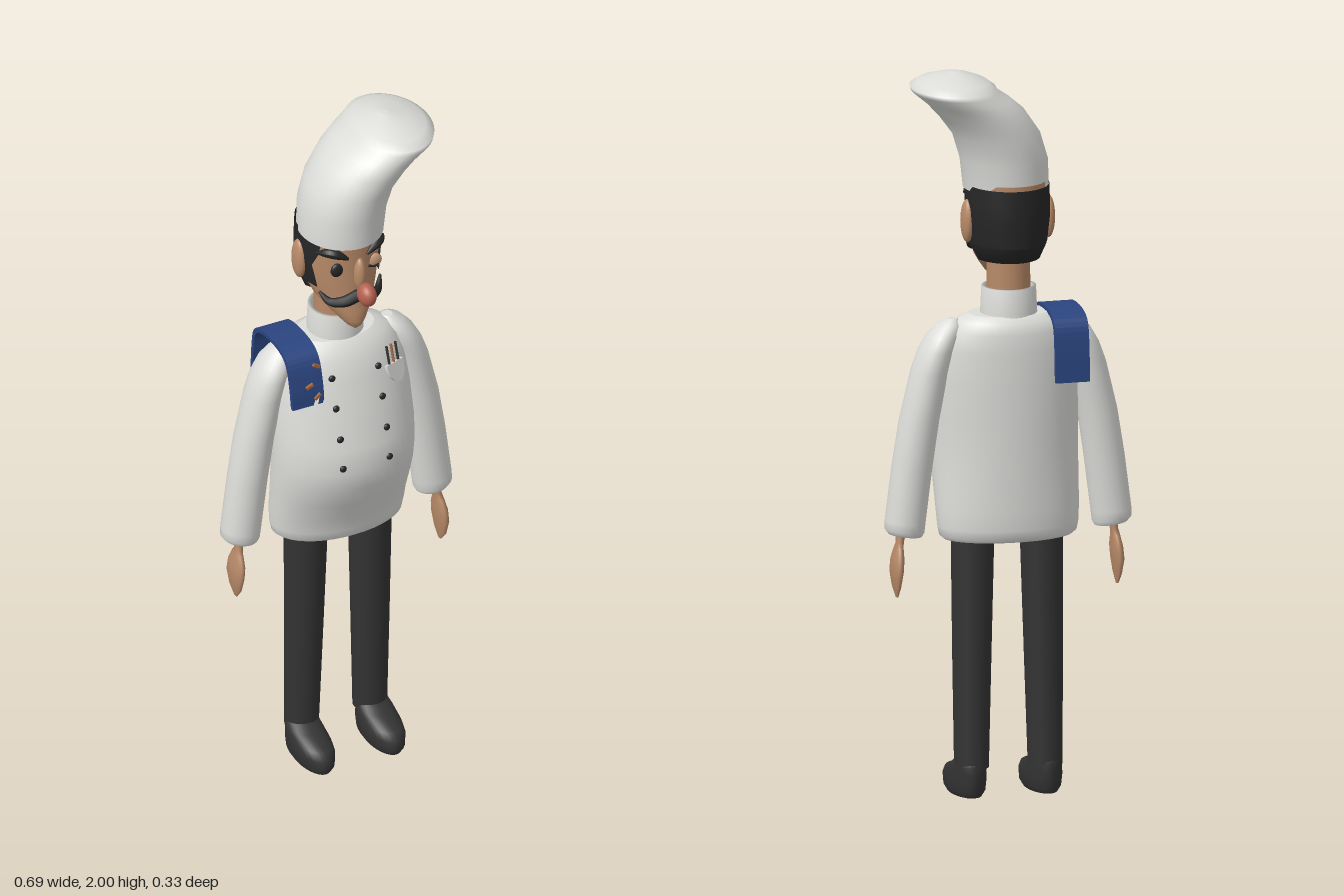
import * as THREE from 'three';

const mat = (name, color) => {
  const m = new THREE.MeshStandardMaterial({ color, side: THREE.DoubleSide });
  m.name = name;
  return m;
};

// Ring: [y, half width, front z, back z, centre x, tilt, start angle]; rings run bottom to top
function loft(rings, seg = 32, side = 1) {
  const pos = [], idx = [], n = seg + 1;
  const point = (r, j) => {
    const [y, rx, f, b, cx = 0, tilt = 0, a0 = 0] = r;
    const a = a0 + (2 * Math.PI - 2 * a0) * j / seg, s = Math.sin(a) * rx;
    return [cx * side + s, y + tilt * side * s, (f + b) / 2 + Math.cos(a) * (f - b) / 2];
  };
  const closed = !rings.some(r => r[6]);
  rings.forEach(r => { for (let j = 0; j < n; j++) pos.push(...point(r, j)); });
  for (let i = 0; i < rings.length - 1; i++)
    for (let j = 0; j < seg; j++) {
      const k = closed ? (j + 1) % seg : j + 1;
      const a = i * n + j, b = i * n + k, c = b + n, d = a + n;
      idx.push(a, b, d, b, c, d);
    }
  // flat end caps on closed lofts
  if (closed) [rings[0], rings[rings.length - 1]].forEach((r, top) => {
    const start = pos.length / 3;
    pos.push((r[4] || 0) * side, r[0], (r[2] + r[3]) / 2);
    for (let j = 0; j < n; j++) pos.push(...point(r, j));
    for (let j = 1; j <= seg; j++) idx.push(start, start + (top ? j : j + 1), start + (top ? j + 1 : j));
  });
  const g = new THREE.BufferGeometry();
  g.setAttribute('position', new THREE.Float32BufferAttribute(pos, 3));
  g.setIndex(idx);
  g.computeVertexNormals();
  return g;
}

// Tube along points whose thickness follows width(t)
function taperTube(points, radius, width) {
  const curve = new THREE.CatmullRomCurve3(points.map(p => new THREE.Vector3(...p)));
  const n = 16, m = 10, g = new THREE.TubeGeometry(curve, n, radius, m);
  const p = g.attributes.position, v = new THREE.Vector3();
  for (let i = 0; i < p.count; i++) {
    const t = Math.floor(i / (m + 1)) / n, c = curve.getPointAt(t);
    v.fromBufferAttribute(p, i).sub(c).multiplyScalar(width(t)).add(c);
    p.setXYZ(i, v.x, v.y, v.z);
  }
  g.computeVertexNormals();
  return g;
}

const TORSO = [
  [0.715, 0.178, 0.07, -0.13], [0.725, 0.19, 0.083, -0.142], [0.75, 0.195, 0.088, -0.146],
  [0.8, 0.198, 0.102, -0.147], [0.86, 0.2, 0.13, -0.147], [0.92, 0.202, 0.154, -0.147],
  [0.98, 0.203, 0.165, -0.147], [1.05, 0.203, 0.156, -0.147], [1.15, 0.2, 0.125, -0.147],
  [1.24, 0.19, 0.1, -0.146], [1.29, 0.175, 0.078, -0.142], [1.32, 0.15, 0.058, -0.132],
  [1.335, 0.11, 0.04, -0.11]];

// Front surface of the jacket at x, y
function jacketZ(x, y) {
  const i = TORSO.findIndex(r => r[0] > y), a = TORSO[i - 1], b = TORSO[i];
  const t = (y - a[0]) / (b[0] - a[0]);
  const [, rx, f, k] = a.map((v, q) => v + (b[q] - v) * t);
  return (f + k) / 2 + (f - k) / 2 * Math.sqrt(1 - (x / rx) ** 2);
}

export function createModel() {
  const model = new THREE.Group();
  model.name = 'chef';
  const white = mat('jacket white', 0xdcdcd9), skin = mat('skin', 0xb88a68),
    lid = mat('eyelid skin', 0xc49a78), red = mat('nose red', 0xb5614f),
    black = mat('hair black', 0x262626), dark = mat('trouser black', 0x333333),
    blue = mat('towel blue', 0x2b4580), wood = mat('wood', 0xa5683c);

  const add = (name, geo, m, parent = model) => {
    const mesh = new THREE.Mesh(geo, m);
    mesh.name = name;
    parent.add(mesh);
    return mesh;
  };
  const ball = (name, m, p, s) => {
    const mesh = add(name, new THREE.SphereGeometry(1, 24, 16), m);
    mesh.position.set(...p);
    mesh.scale.set(...s);
    return mesh;
  };

  // Jacket, collar, neck
  add('jacket', loft(TORSO, 40), white);
  const collar = [[0.08, 1.31], [0.077, 1.34], [0.074, 1.408], [0.064, 1.408], [0.064, 1.33]];
  add('collar', new THREE.LatheGeometry(collar.map(p => new THREE.Vector2(...p)), 32), white)
    .position.z = -0.037;
  const neck = add('neck', new THREE.CylinderGeometry(0.058, 0.06, 0.2, 24), skin);
  neck.position.set(0, 1.42, -0.035);

  // Limbs
  for (const s of [1, -1]) {
    const side = s > 0 ? 'left' : 'right';
    add(side + 'Leg', loft([
      [0.08, 0.047, 0.013, -0.08, 0.103], [0.4, 0.053, 0.028, -0.081, 0.1],
      [0.76, 0.059, 0.045, -0.085, 0.096]], 24, s), dark);
    add(side + 'Shoe', loft([
      [0, 0.042, 0.12, -0.07, 0.106], [0.015, 0.051, 0.13, -0.08, 0.106],
      [0.045, 0.054, 0.13, -0.083, 0.106], [0.065, 0.051, 0.112, -0.083, 0.106],
      [0.085, 0.048, 0.05, -0.082, 0.106], [0.1, 0.043, 0.02, -0.077, 0.105],
      [0.108, 0.03, 0.0, -0.06, 0.104]], 28, s), dark);
    add(side + 'Sleeve', loft([
      [0.733, 0.046, 0.014, -0.075, 0.288, 0.12], [0.745, 0.054, 0.021, -0.083, 0.29, 0.12],
      [0.77, 0.055, 0.023, -0.085, 0.288, 0.1], [0.92, 0.055, 0.025, -0.086, 0.269, 0.08],
      [1.05, 0.054, 0.028, -0.09, 0.249, 0.05], [1.185, 0.051, 0.03, -0.094, 0.22],
      [1.24, 0.049, 0.029, -0.094, 0.202], [1.28, 0.045, 0.023, -0.09, 0.183],
      [1.31, 0.034, 0.006, -0.075, 0.166], [1.325, 0.014, -0.02, -0.05, 0.157]], 24, s), white);
    add(side + 'Hand', loft([
      [0.56, 0.003, -0.012, -0.03, 0.308], [0.59, 0.01, 0.012, -0.052, 0.309],
      [0.63, 0.016, 0.024, -0.064, 0.309], [0.665, 0.016, 0.022, -0.06, 0.306],
      [0.695, 0.012, 0.006, -0.046, 0.303], [0.71, 0.011, -0.006, -0.034, 0.3],
      [0.745, 0.014, -0.004, -0.038, 0.296]], 20, s), skin);
  }

  // Head and hair
  add('head', loft([
    [1.4, 0.008, 0.09, 0.06], [1.412, 0.022, 0.102, 0.045], [1.43, 0.038, 0.107, 0.015],
    [1.46, 0.062, 0.106, -0.04], [1.49, 0.083, 0.1, -0.09], [1.53, 0.098, 0.098, -0.13],
    [1.6, 0.107, 0.1, -0.142], [1.7, 0.108, 0.1, -0.142]], 36), skin);
  add('hair', loft([
    [1.475, 0.06, 0.06, -0.06, 0, 0, 1.9], [1.485, 0.09, 0.1, -0.125, 0, 0, 1.85],
    [1.525, 0.105, 0.105, -0.146, 0, 0, 1.6], [1.532, 0.107, 0.106, -0.148, 0, 0, 1.05],
    [1.6, 0.114, 0.108, -0.154, 0, 0, 1.15], [1.64, 0.114, 0.108, -0.155, 0, 0, 0.98],
    [1.69, 0.112, 0.108, -0.153, 0, 0, 0.9]], 36), black);

  // Face
  ball('nose', red, [0.01, 1.53, 0.133], [0.025, 0.033, 0.034]);
  ball('noseBridge', skin, [0.005, 1.58, 0.1], [0.017, 0.05, 0.022]);
  ball('openEye', black, [-0.055, 1.6, 0.084], [0.019, 0.021, 0.01]);
  ball('closedEye', lid, [0.056, 1.598, 0.083], [0.024, 0.021, 0.011]);
  add('closedEyeLine', taperTube([[0.034, 1.594, 0.095], [0.056, 1.588, 0.095], [0.08, 1.596, 0.078]],
    0.003, () => 1), black);
  for (const s of [1, -1]) {
    ball('ear', skin, [s * 0.113, 1.59, -0.028], [0.018, 0.06, 0.03]);
    add('moustacheHalf', taperTube([[0, 1.517, 0.106], [s * 0.04, 1.503, 0.1],
      [s * 0.072, 1.498, 0.076], [s * 0.092, 1.522, 0.05]], 0.016, t => 1.1 - 0.9 * t * t), black);
    add('eyebrow', taperTube([[s * 0.028, 1.637, 0.1], [s * 0.068, 1.657, 0.085],
      [s * 0.1, 1.65, 0.05]], 0.013, t => 0.25 + 0.8 * Math.sin(Math.PI * t)), black);
  }

  // Tall bent hat
  add('hat', loft([
    [1.675, 0.115, 0.12, -0.138], [1.755, 0.118, 0.124, -0.142, 0.006],
    [1.825, 0.118, 0.13, -0.147, 0.027], [1.882, 0.114, 0.137, -0.153, 0.067, -0.07],
    [1.92, 0.113, 0.142, -0.158, 0.106, -0.04], [1.948, 0.115, 0.146, -0.162, 0.143],
    [1.96, 0.114, 0.144, -0.16, 0.148], [1.975, 0.094, 0.114, -0.13, 0.148],
    [1.99, 0.055, 0.06, -0.076, 0.145], [2.0, 0.01, 0.005, -0.02, 0.137]], 40), white);

  // Double row of buttons
  for (const x of [-0.071, 0.068])
    for (const y of [1.0, 1.085, 1.17, 1.253])
      ball('button', black, [x, y, jacketZ(x, y)], [0.01, 0.01, 0.007]);

  // Breast pockets with utensils
  for (const [x, y] of [[0.117, 1.222], [-0.148, 1.188]]) {
    const pocket = new THREE.Group();
    pocket.name = 'breastPocket';
    pocket.position.set(x, y, jacketZ(x, y) + 0.005);
    pocket.rotation.set(-0.28, Math.sign(x) * 0.5, -0.12, 'YXZ');
    model.add(pocket);
    const shape = new THREE.Shape();
    shape.moveTo(-0.037, 0.026);
    shape.lineTo(0.037, 0.026);
    shape.quadraticCurveTo(0.036, -0.03, 0.012, -0.032);
    shape.quadraticCurveTo(-0.03, -0.026, -0.037, 0.026);
    add('pocketPatch', new THREE.ExtrudeGeometry(shape, { depth: 0.009, bevelEnabled: false }), white, pocket);
    [-0.02, 0, 0.02].forEach((px, i) => {
      const tool = add('utensil', new THREE.CylinderGeometry(0.0035, 0.0035, 0.07, 8), i % 2 ? wood : dark, pocket);
      tool.position.set(px, 0.042, 0.004);
    });
  }

  // Towel folded over the right shoulder
  const outer = [[0.094, 1.19], [0.085, 1.25], [0.06, 1.318], [0.01, 1.343], [-0.08, 1.342],
    [-0.138, 1.318], [-0.155, 1.25], [-0.16, 1.155]].map(p => new THREE.Vector2(...p));
  const path = new THREE.SplineCurve(outer).getPoints(32);
  const inner = path.map(p => new THREE.Vector2(-0.035 + (p.x + 0.035) * 0.9, p.y - (p.y > 1.2 ? 0.01 : 0)));
  const towel = new THREE.ExtrudeGeometry(new THREE.Shape([...path, ...inner.reverse()]),
    { depth: 0.095, bevelEnabled: false });
  towel.rotateY(-Math.PI / 2);
  towel.translate(-0.098, 0, 0);
  add('towel', towel, blue);
  // Wooden tips showing beside the towel
  for (const [x, y, z, r] of [[-0.14, 1.25, 0.088, 0.4], [-0.112, 1.3, 0.073, -0.5], [-0.118, 1.215, 0.093, 0.7]]) {
    const tip = add('woodenTip', new THREE.BoxGeometry(0.022, 0.008, 0.008), wood);
    tip.position.set(x, y, z);
    tip.rotation.z = r;
  }
  return model;
}
